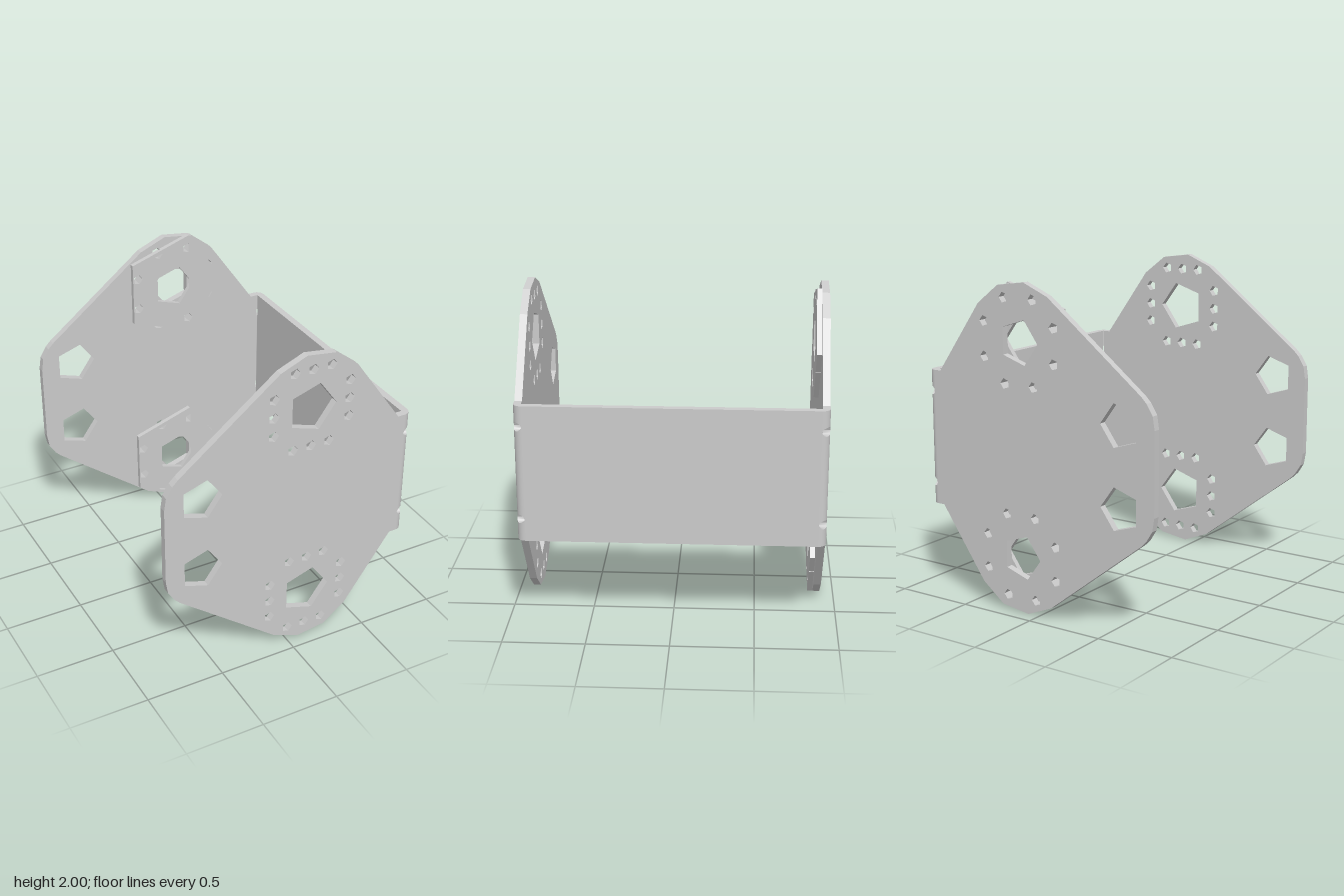
import * as THREE from 'three';

const material = new THREE.MeshStandardMaterial({ color: 0xcccccc });

// Sheet metal dimensions
const INNER = 0.868, OUTER = 0.913, THICK = OUTER - INNER;
const BEND_X = 0.77, BEND_Z = 0.863, R_IN = 0.005, R_OUT = 0.05;
const WALL_LOW = 0.58, WALL_HIGH = 1.42;
const HUB_X = 0.12, HUB_YS = [0.35, 1.65];

// Regular pentagon with its tip towards +x (dir 1) or -x (dir -1)
function pentagon(Type, x, y, r, dir = 1) {
  const pts = [];
  for (let i = 0; i < 5; i++) {
    const a = (i * 2 * Math.PI) / 5;
    pts.push(new THREE.Vector2(x + dir * r * Math.cos(a), y + r * Math.sin(a)));
  }
  return new Type(pts);
}
const hole = (x, y, r, dir) => pentagon(THREE.Path, x, y, r, dir);

function add(group, name, geometry) {
  const mesh = new THREE.Mesh(geometry, material);
  mesh.name = name;
  group.add(mesh);
  return mesh;
}

const extrude = (shape, depth, z) =>
  new THREE.ExtrudeGeometry(shape, { depth, bevelEnabled: false }).translate(0, 0, z);

// Plate outline: upper half, mirrored about y = 1
function plateShape() {
  const upper = [
    [BEND_X, 1.42], [0.724, 1.42], [0.416, 1.857], [0.268, 1.973], [0.077, 2], [-0.093, 1.93],
    [-0.735, 1.43], [-0.77, 1.395], [-0.81, 1.33], [-0.823, 1.25],
  ];
  const lower = upper.map(([x, y]) => [x, 2 - y]).reverse();
  const shape = new THREE.Shape([...upper, ...lower].map(([x, y]) => new THREE.Vector2(x, y)));
  for (const y of [0.76, 1.245]) shape.holes.push(hole(-0.592, y, 0.135));
  return shape;
}

// Eight screw holes on a circle
function ringHoles(cy) {
  const holes = [];
  for (let i = 0; i < 8; i++) {
    const a = ((i + 0.5) * Math.PI) / 4;
    holes.push(hole(HUB_X + 0.275 * Math.cos(a), cy + 0.275 * Math.sin(a), 0.033));
  }
  return holes;
}

// Twelve screw holes, three along each side of a square
function squareHoles(cy) {
  const holes = [];
  for (const s of [-1, 1]) {
    for (const t of [-0.12, 0, 0.12]) {
      holes.push(hole(HUB_X + s * 0.25, cy + t, 0.035));
      holes.push(hole(HUB_X + t, cy + s * 0.252, 0.035));
    }
  }
  return holes;
}

// Quarter-round bend strip; ends marked as notched curve away from the relief hole
function bendGeometry(y0, y1, notch0, notch1) {
  const g = new THREE.BoxGeometry(1, 1, 1, 12, 1, 1);
  const p = g.attributes.position;
  for (let i = 0; i < p.count; i++) {
    const u = p.getX(i) * 2;
    const a = ((1 - u) * Math.PI) / 4;
    const top = p.getY(i) > 0;
    const gap = 0.027 * Math.sqrt(Math.max(0, 1 - u * u));
    const y = top ? y1 - (notch1 ? gap : 0) : y0 + (notch0 ? gap : 0);
    const r = p.getZ(i) > 0 ? R_OUT : R_IN;
    // u = -1 meets the plate, u = 1 meets the wall
    p.setXYZ(i, BEND_X + r * Math.cos(a), y, BEND_Z + r * Math.sin(a));
  }
  g.computeVertexNormals();
  return g;
}

export function createModel() {
  const model = new THREE.Group();
  model.name = 'bracket';

  // Front plate
  const front = plateShape();
  for (const y of HUB_YS) front.holes.push(hole(HUB_X, y, 0.16), ...squareHoles(y));
  add(model, 'frontPlate', extrude(front, THICK, INNER));

  // Back plate
  const back = plateShape();
  for (const y of HUB_YS) back.holes.push(hole(HUB_X, y, 0.14, -1), ...ringHoles(y));
  add(model, 'backPlate', extrude(back, THICK, -OUTER));

  // Five-sided pads on the inside of the back plate
  for (const y of HUB_YS) {
    const pad = pentagon(THREE.Shape, HUB_X, y, 0.357);
    pad.holes.push(hole(HUB_X, y, 0.14), ...ringHoles(y));
    add(model, y > 1 ? 'upperPad' : 'lowerPad', extrude(pad, 0.03, -INNER));
  }

  // Side wall joining the plates
  const wall = new THREE.BoxGeometry(R_OUT - R_IN, WALL_HIGH - WALL_LOW, BEND_Z * 2);
  wall.translate(BEND_X + (R_IN + R_OUT) / 2, 1, 0);
  add(model, 'sideWall', wall);

  // Rounded bends, split by the relief holes
  const stops = [WALL_LOW, 0.715, 1.29, WALL_HIGH];
  for (const side of ['front', 'back']) {
    const bend = new THREE.Group();
    bend.name = side + 'Bend';
    for (let i = 0; i < 3; i++) {
      add(bend, 'bendStrip', bendGeometry(stops[i], stops[i + 1], i > 0, i < 2));
    }
    if (side === 'back') bend.scale.z = -1;
    model.add(bend);
  }
  return model;
}
